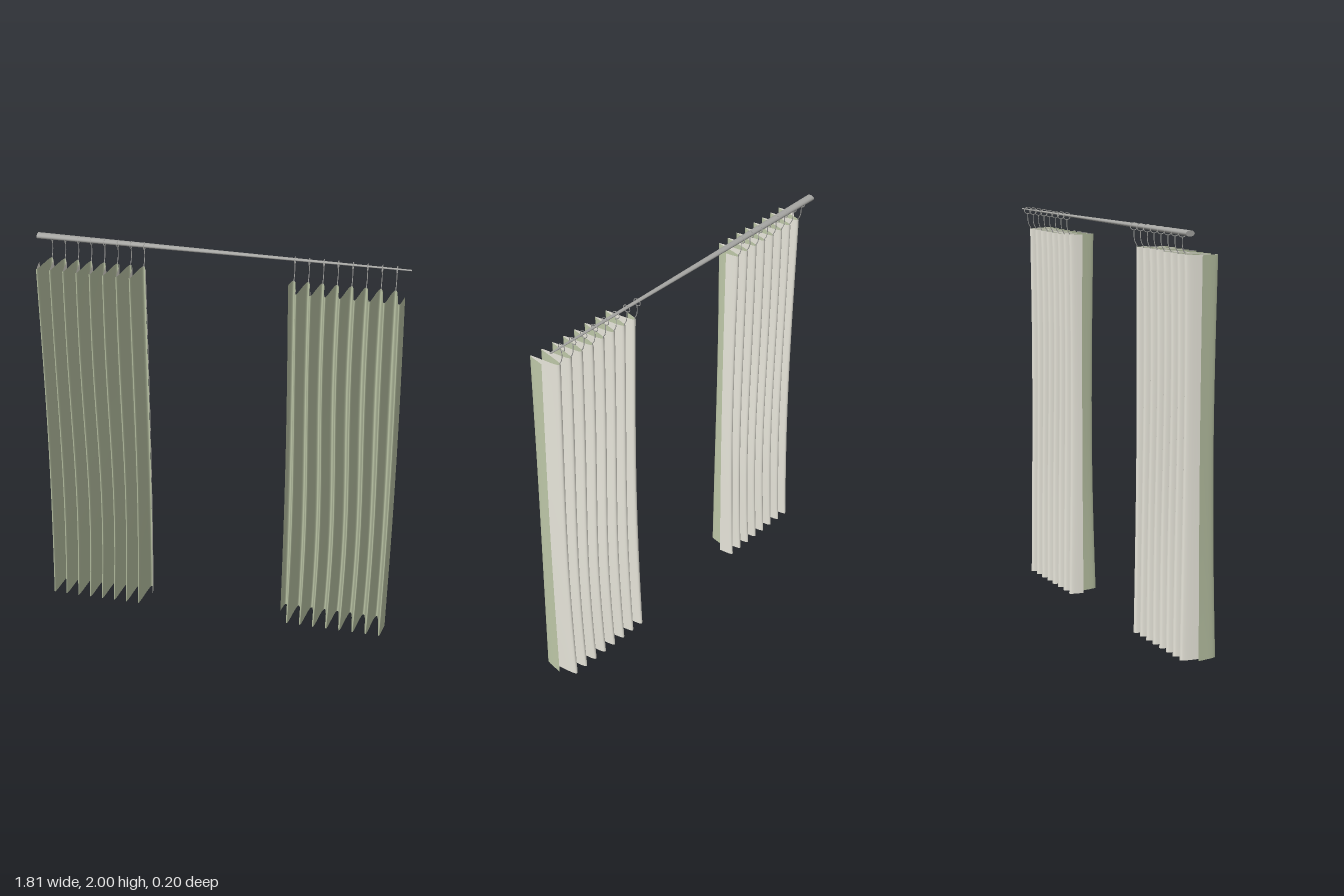
import * as THREE from 'three';

const fabricGreen = new THREE.MeshStandardMaterial({ color: 0xc1cbab });
const liningCream = new THREE.MeshStandardMaterial({ color: 0xe9e7dc });
const rodMetal = new THREE.MeshStandardMaterial({ color: 0xa6a6a3 });
fabricGreen.name = 'fabricGreen';
liningCream.name = 'liningCream';
rodMetal.name = 'rodMetal';

const FOLDS = 8, HEIGHT = 1.885, ROD_Y = 1.986, ROD_Z = -0.077;

// Pleated sheet: a plane bent into sine folds that tighten mid-height and flare at the hem
function pleatedSheet(x0, x1, sign) {
  const geo = new THREE.PlaneGeometry(1, 1, FOLDS * 20, 24);
  const pos = geo.attributes.position;
  for (let i = 0; i < pos.count; i++) {
    const u = pos.getX(i) + 0.5, v = pos.getY(i) + 0.5;
    const pinch = Math.sin(Math.PI * v);
    const depth = 0.084 - 0.009 * v - 0.012 * pinch;
    const sway = 0.008 * pinch + 0.008 * Math.sin(2 * Math.PI * v) * Math.sin(Math.PI * u);
    const wave = sign * Math.sin(2 * Math.PI * FOLDS * u);
    pos.setXYZ(i,
      THREE.MathUtils.lerp(x0, x1, u) + sway,
      v * HEIGHT,
      depth * wave + 0.014 * wave * wave);
  }
  geo.computeVertexNormals();
  return geo;
}

// The same sheet set slightly behind and turned over, for the lining
function liningOf(sheet) {
  const geo = sheet.clone();
  const pos = geo.attributes.position, nor = geo.attributes.normal, idx = geo.index;
  for (let i = 0; i < pos.count; i++) {
    pos.setX(i, pos.getX(i) - 0.004 * nor.getX(i));
    pos.setZ(i, pos.getZ(i) - 0.004 * nor.getZ(i));
  }
  for (let i = 0; i < idx.count; i += 3) {
    const a = idx.getX(i);
    idx.setX(i, idx.getX(i + 1));
    idx.setX(i + 1, a);
  }
  geo.computeVertexNormals();
  return geo;
}

function mesh(name, geo, mat) {
  const m = new THREE.Mesh(geo, mat);
  m.name = name;
  return m;
}

// Ring round the rod with a bent wire reaching down to the back of a fold
const ringGeo = new THREE.TorusGeometry(0.017, 0.002, 6, 20).rotateY(Math.PI / 2).scale(1, 1, 1.15);
const wireGeo = new THREE.TubeGeometry(new THREE.CatmullRomCurve3([
  new THREE.Vector3(0, 1.964, ROD_Z),
  new THREE.Vector3(0, 1.925, ROD_Z + 0.001),
  new THREE.Vector3(0, 1.903, ROD_Z + 0.008),
  new THREE.Vector3(0, 1.893, -0.062),
  new THREE.Vector3(0, 1.878, -0.061),
]), 14, 0.002, 6);

function hook(x) {
  const g = new THREE.Group();
  g.name = 'curtainHook';
  const ring = mesh('hookRing', ringGeo, rodMetal);
  ring.position.set(0, 1.981, ROD_Z);
  g.add(ring, mesh('hookWire', wireGeo, rodMetal));
  g.position.x = x;
  return g;
}

function curtain(name, x0, x1, sign) {
  const g = new THREE.Group();
  g.name = name;
  const sheet = pleatedSheet(x0, x1, sign);
  g.add(mesh('curtainFabric', sheet, fabricGreen), mesh('curtainLining', liningOf(sheet), liningCream));
  // One hook at the rearmost line of every fold
  for (let i = 0; i < FOLDS; i++) {
    const u = (i + (sign > 0 ? 0.75 : 0.25)) / FOLDS;
    g.add(hook(THREE.MathUtils.lerp(x0, x1, u)));
  }
  return g;
}

export function createModel() {
  const model = new THREE.Group();
  model.name = 'curtains';

  // Tapered, slightly flattened rod
  const rodGeo = new THREE.CylinderGeometry(0.022, 0.005, 1.814, 24).rotateZ(Math.PI / 2).scale(1, 0.63, 1);
  const rod = mesh('curtainRod', rodGeo, rodMetal);
  rod.position.set(0, ROD_Y, ROD_Z);
  model.add(rod);

  model.add(curtain('rightCurtain', -0.884, -0.358, 1));
  model.add(curtain('leftCurtain', 0.34, 0.891, -1));
  return model;
}
